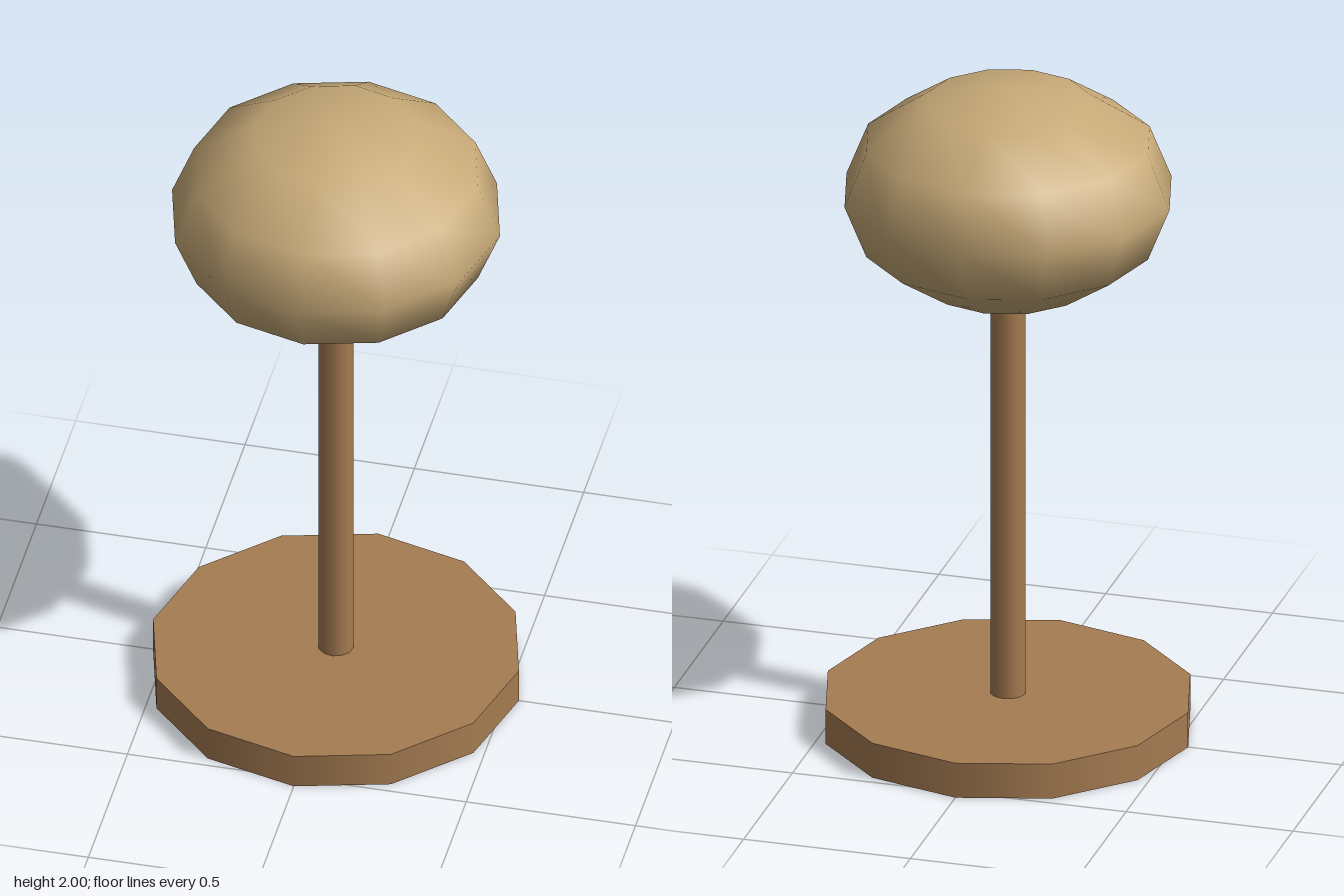
import * as THREE from 'three';

export function createModel() {
  const group = new THREE.Group();
  const wood = new THREE.MeshStandardMaterial({ name: 'wood brown', color: 0xa67c52 });
  const tan = new THREE.MeshStandardMaterial({ name: 'padded tan', color: 0xc8aa78 });

  const add = (name, geometry, material, y) => {
    const mesh = new THREE.Mesh(geometry, material);
    mesh.name = name;
    mesh.position.y = y;
    group.add(mesh);
    return mesh;
  };

  // Twelve-sided foot
  const baseHeight = 0.108;
  add('base', new THREE.CylinderGeometry(0.54, 0.54, baseHeight, 12), wood, baseHeight / 2);

  // Slim post, its top just inside the head
  const postTop = 1.38;
  add('post', new THREE.CylinderGeometry(0.052, 0.052, postTop - baseHeight, 12), wood, (postTop + baseHeight) / 2);

  // Squashed round head
  const head = add('head', new THREE.SphereGeometry(0.484, 12, 6), tan, 1.675);
  head.scale.y = 0.325 / 0.484;

  return group;
}
